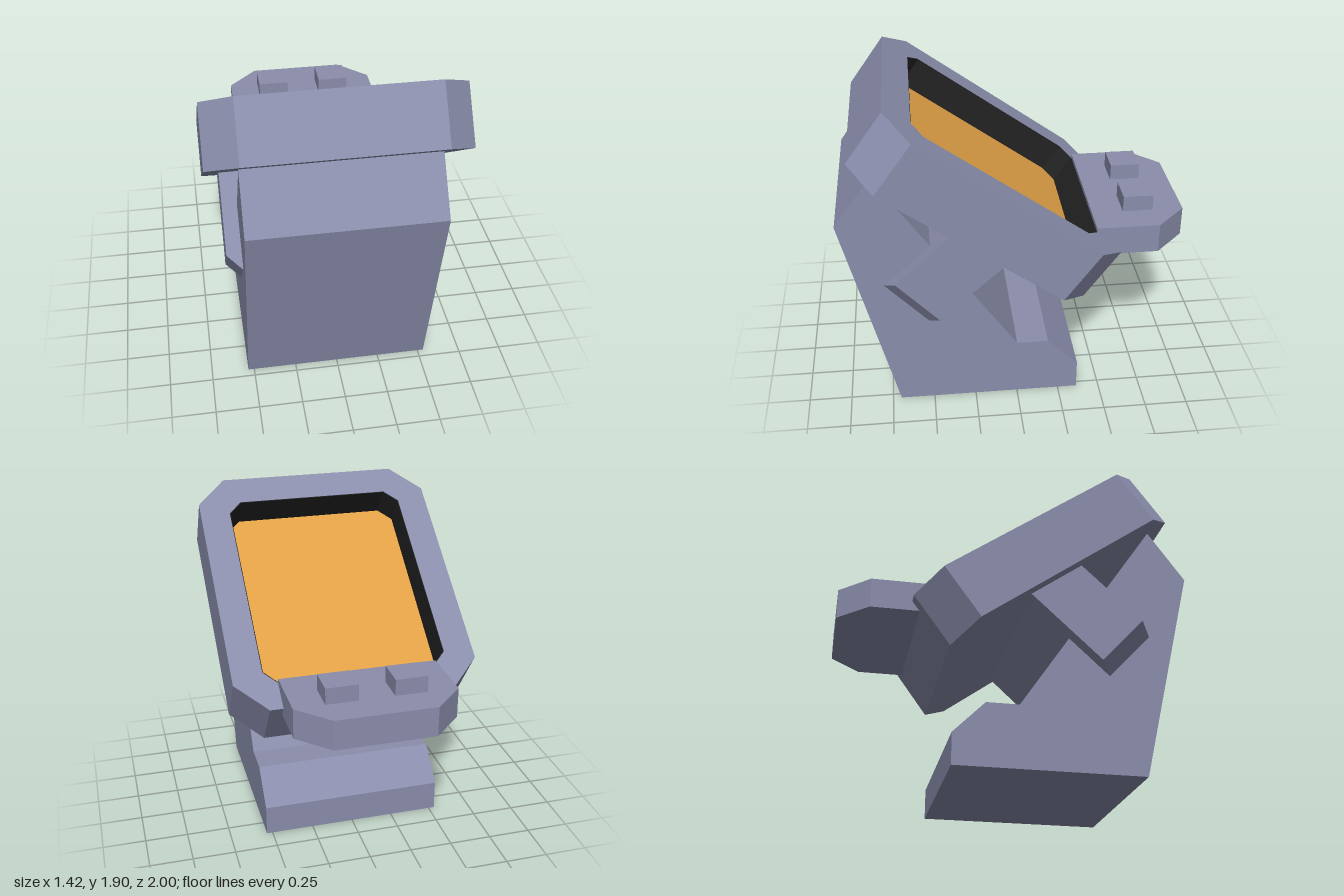
import * as THREE from 'three';

const material = (name, color) => {
  const m = new THREE.MeshStandardMaterial({ color });
  m.name = name;
  return m;
};

const toShape = (pts) => new THREE.Shape(pts.map(([x, y]) => new THREE.Vector2(x, y)));

// Outline of a rectangle with cut corners: half-width w, from y0 to y1,
// corner cut c0 at the y0 end and c1 at the y1 end.
const cutRect = (w, y0, y1, c0, c1) => [
  [-w + c0, y0], [w - c0, y0], [w, y0 + c0], [w, y1 - c1],
  [w - c1, y1], [-w + c1, y1], [-w, y1 - c1], [-w, y0 + c0],
].filter((p, i, a) => {
  const q = a[(i + 1) % a.length];
  return p[0] !== q[0] || p[1] !== q[1];
});

// Prism along local z from z0 to z1, with an optional hole.
function prism(name, mat, outline, z0, z1, hole) {
  const shape = toShape(outline);
  if (hole) shape.holes.push(toShape(hole));
  const geo = new THREE.ExtrudeGeometry(shape, { depth: z1 - z0, bevelEnabled: false });
  geo.translate(0, 0, z0);
  const mesh = new THREE.Mesh(geo, mat);
  mesh.name = name;
  return mesh;
}

export function createModel() {
  const casing = material('blue grey casing', 0x8a8dab);
  const amber = material('amber screen', 0xdf9f45);
  const black = material('black recess', 0x222222);

  const model = new THREE.Group();
  model.name = 'consoleTerminal';

  // Stand: side profile in (z, y), extruded across the width
  const stand = prism('stand', casing, [
    [0.70, 0], [1.0, 1.225], [0.79, 1.52], [0, 0.36],
    [-0.185, 0.36], [-0.365, 0.18], [-0.365, 0],
  ], -0.535, 0.535);
  stand.rotation.y = -Math.PI / 2;
  model.add(stand);

  // Bracket: slanted block through the stand, holding the monitor
  const bracket = prism('bracket', casing, cutRect(0.62, 0, 0.64, 0.088, 0), 0, 0.357);
  bracket.position.set(0, 0.565, 0.515);
  bracket.rotation.x = -0.824;
  model.add(bracket);

  // Monitor: local y runs up the slope, local z out of the screen
  const monitor = new THREE.Group();
  monitor.name = 'monitor';
  monitor.position.set(0, 1.1425, 0.2625);
  monitor.rotation.set(0.945, Math.PI, 0);
  const outer = cutRect(0.71, -0.798, 0.798, 0.175, 0.175);
  const opening = cutRect(0.535, -0.64, 0.62, 0.078, 0.078);
  const inner = cutRect(0.531, -0.636, 0.616, 0.077, 0.077);
  monitor.add(
    prism('monitorBack', casing, outer, 0, 0.158),
    prism('monitorFrame', casing, outer, 0.158, 0.354, opening),
    prism('recessWalls', black, opening, 0.158, 0.352, inner),
    prism('screen', amber, inner, 0.158, 0.164),
  );
  model.add(monitor);

  // Control panel: horizontal shelf at the low end of the monitor
  const panel = prism('controlPanel', casing, cutRect(0.46, 0.462, 1.0, 0, 0.175), 0.905, 1.08);
  panel.rotation.x = -Math.PI / 2;
  model.add(panel);

  // Two square buttons
  for (const side of [-1, 1]) {
    const button = new THREE.Mesh(new THREE.BoxGeometry(0.183, 0.115, 0.176), casing);
    button.name = side > 0 ? 'leftButton' : 'rightButton';
    button.position.set(side * 0.193, 1.1175, -0.733);
    model.add(button);
  }
  return model;
}
